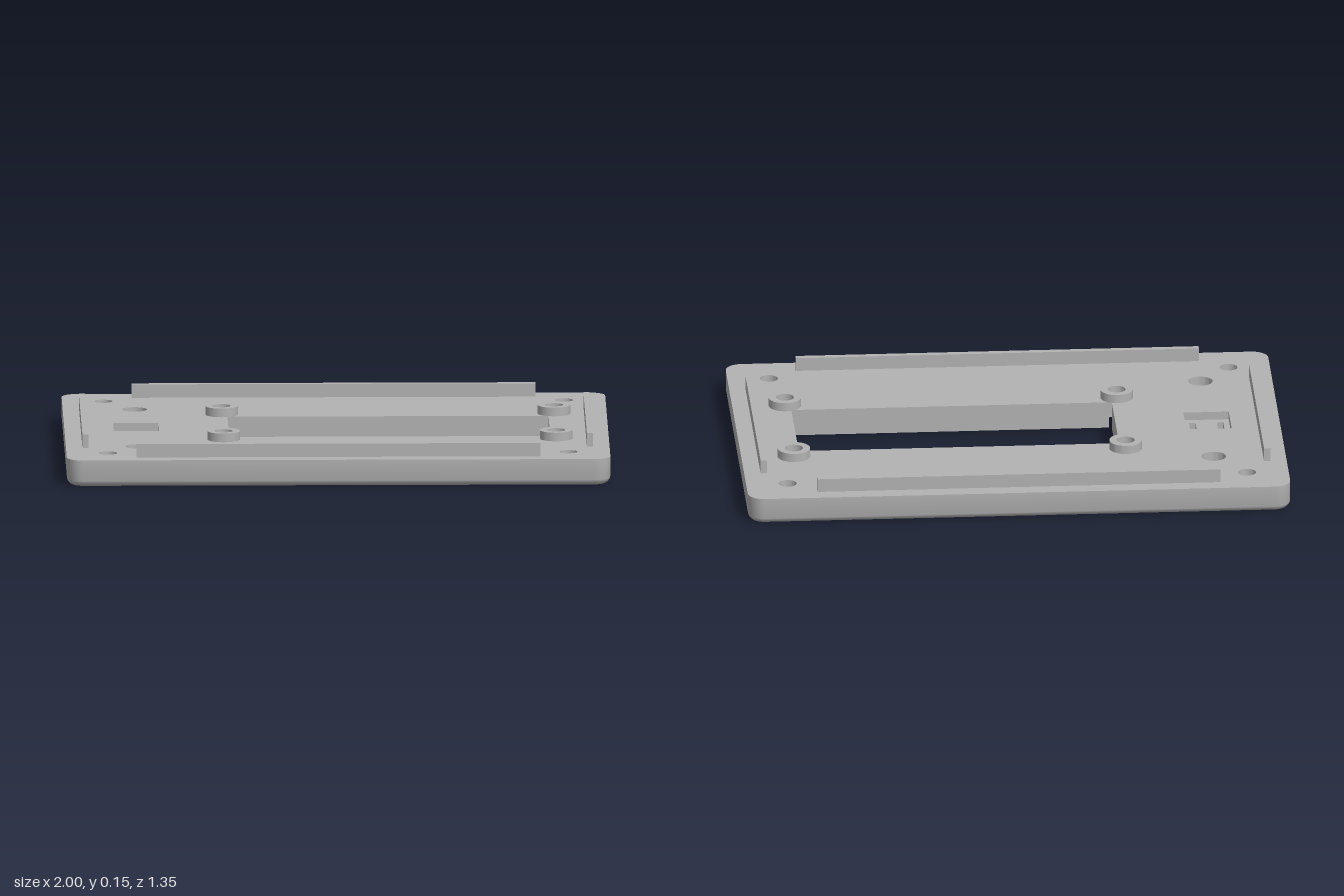
import * as THREE from 'three';
import { mergeGeometries, toCreasedNormals } from 'three/addons/utils/BufferGeometryUtils.js';

// Plan coordinates are (x, s) with s = -z; every piece is laid flat at the end.
const V = (x, s) => new THREE.Vector2(x, s);
const wind = (pts, ccw) => (THREE.ShapeUtils.isClockWise(pts) === ccw ? pts.slice().reverse() : pts);

function arc(cx, cs, r, a0, a1, n) {
  return Array.from({ length: n + 1 }, (_, i) => {
    const a = a0 + (a1 - a0) * i / n;
    return V(cx + r * Math.cos(a), cs + r * Math.sin(a));
  });
}
const circle = (cx, cs, r) => arc(cx, cs, r, 0, Math.PI * 2, 40).slice(0, -1);
const rect = (x0, x1, s0, s1) => [V(x0, s0), V(x1, s0), V(x1, s1), V(x0, s1)];
function roundedRect(hx, hs, r) {
  return [[1, 1], [-1, 1], [-1, -1], [1, -1]].flatMap(([i, j], k) =>
    arc(i * (hx - r), j * (hs - r), r, k * Math.PI / 2, (k + 1) * Math.PI / 2, 8));
}

// Flat face at height y, looking up or down
function face(outline, holes, y, up = true) {
  const shape = new THREE.Shape(wind(outline, true));
  shape.holes = holes.map((h) => new THREE.Path(wind(h, false)));
  const g = new THREE.ShapeGeometry(shape).toNonIndexed();
  g.deleteAttribute('uv');
  g.deleteAttribute('normal');
  if (!up) {
    const p = g.attributes.position;
    for (let i = 0; i < p.count; i += 3) {
      const [x, s] = [p.getX(i), p.getY(i)];
      p.setXY(i, p.getX(i + 1), p.getY(i + 1));
      p.setXY(i + 1, x, s);
    }
  }
  return g.translate(0, 0, y);
}

// Skin through stacked loops [points, height]
function loft(levels) {
  const pos = [];
  for (let l = 0; l < levels.length - 1; l++) {
    const [a, ya] = levels[l], [b, yb] = levels[l + 1];
    for (let i = 0; i < a.length; i++) {
      const j = (i + 1) % a.length;
      const A = [a[i].x, a[i].y, ya], B = [a[j].x, a[j].y, ya];
      const C = [b[j].x, b[j].y, yb], D = [b[i].x, b[i].y, yb];
      pos.push(...A, ...B, ...C, ...A, ...C, ...D);
    }
  }
  const g = new THREE.BufferGeometry();
  g.setAttribute('position', new THREE.Float32BufferAttribute(pos, 3));
  return g;
}
function wall(pts, y0, y1, outward = false) {
  const p = wind(pts, outward);
  return loft([[p, y0], [p, y1]]);
}

export function createModel() {
  const group = new THREE.Group();
  const grey = new THREE.MeshStandardMaterial({ color: 0xb2b2b2 });
  const add = (name, parts) => {
    const g = toCreasedNormals(mergeGeometries(parts).rotateX(-Math.PI / 2), 0.6);
    const mesh = new THREE.Mesh(g, grey);
    mesh.name = name;
    group.add(mesh);
  };

  const HX = 1, HS = 0.673, TOP = 0.1, BORE = 0.05, FIL = 0.03;
  const holeR = 0.033, boreR = 0.058, bossR = 0.06, bossTop = 0.132;

  // Screw positions, large holes and the central window
  const corners = [[-0.847, -0.523], [0.847, -0.523], [0.847, 0.523], [-0.847, 0.523]];
  const bosses = [[-0.417, -0.253], [0.806, -0.253], [0.806, 0.253], [-0.417, 0.253]];
  const large = [[-0.735, 0.357], [-0.735, -0.392]].map(([x, s]) => circle(x, s, 0.045));
  const opening = rect(-0.396, 0.785, -0.204, 0.204);

  // Screw recesses under the bosses break into the corners of the window
  const notches = bosses.map(([cx, cs], k) => {
    const c = opening[k], dx = c.x - cx, ds = c.y - cs;
    const onX = Math.atan2(Math.sign(ds) * Math.sqrt(boreR ** 2 - dx ** 2), dx);
    const onS = Math.atan2(ds, Math.sign(dx) * Math.sqrt(boreR ** 2 - ds ** 2));
    const a0 = k % 2 ? onS : onX;
    let a1 = k % 2 ? onX : onS;
    if (a1 <= a0) a1 += Math.PI * 2;
    return arc(cx, cs, boreR, a0, a1, 36);
  });
  const notchedOpening = notches.flat();

  // Cable tie anchor: pocket above, cavity below, two slots between
  const pocket = rect(-0.819, -0.652, -0.083, 0.083);
  const cavity = rect(-0.797, -0.671, -0.054, 0.054);
  const slots = [rect(-0.797, -0.773, -0.054, 0.054), rect(-0.695, -0.671, -0.054, 0.054)];
  const pocketY = 0.07, cavityY = 0.045;

  // Plate shell with a rounded lower edge
  const levels = [];
  for (let i = 0; i <= 6; i++) {
    const a = i / 6 * Math.PI / 2, inset = FIL * (1 - Math.sin(a));
    levels.push([roundedRect(HX - inset, HS - inset, 0.06 - inset), FIL * (1 - Math.cos(a))]);
  }
  const outline = roundedRect(HX, HS, 0.06);
  levels.push([outline, TOP]);
  const small = [...corners, ...bosses].map(([x, s]) => circle(x, s, holeR));
  add('basePlate', [
    loft(levels),
    face(levels[0][0], [notchedOpening, cavity, ...large,
      ...corners.map(([x, s]) => circle(x, s, boreR))], 0, false),
    face(outline, [opening, pocket, ...large, ...small], TOP),
  ]);

  add('windowWalls', [wall(notchedOpening, 0, BORE), wall(opening, BORE, TOP)]);
  add('largeHoles', large.map((h) => wall(h, 0, TOP)));

  // Corner screw holes with recesses from below
  add('cornerScrewHoles', corners.flatMap(([x, s]) => {
    const hole = circle(x, s, holeR), bore = circle(x, s, boreR);
    return [wall(bore, 0, BORE), face(bore, [hole], BORE, false), wall(hole, BORE, TOP)];
  }));

  // Raised bosses around the window
  bosses.forEach(([x, s], k) => {
    const hole = circle(x, s, holeR), rim = circle(x, s, bossR);
    add('screwBoss', [
      wall(rim, TOP, bossTop, true), face(rim, [hole], bossTop), face(rim, [hole], TOP, false),
      wall(hole, BORE, bossTop), face([...notches[k], opening[k]], [hole], BORE, false),
    ]);
  });

  add('cableTieAnchor', [
    wall(pocket, pocketY, TOP), face(pocket, slots, pocketY),
    ...slots.map((p) => wall(p, cavityY, pocketY)),
    wall(cavity, 0, cavityY), face(rect(-0.773, -0.695, -0.054, 0.054), [], cavityY, false),
  ]);

  // Locating rails along the four sides
  const rail = (name, w, d, x, z) => {
    const mesh = new THREE.Mesh(new THREE.BoxGeometry(w, 0.05, d), grey);
    mesh.name = name;
    mesh.position.set(x, TOP + 0.025, z);
    group.add(mesh);
  };
  for (const side of [-1, 1]) {
    rail(side > 0 ? 'frontRail' : 'backRail', 1.486, 0.023, 0, side * 0.603);
    rail(side > 0 ? 'leftRail' : 'rightRail', 0.023, 0.832, side * 0.928, 0);
  }
  return group;
}
